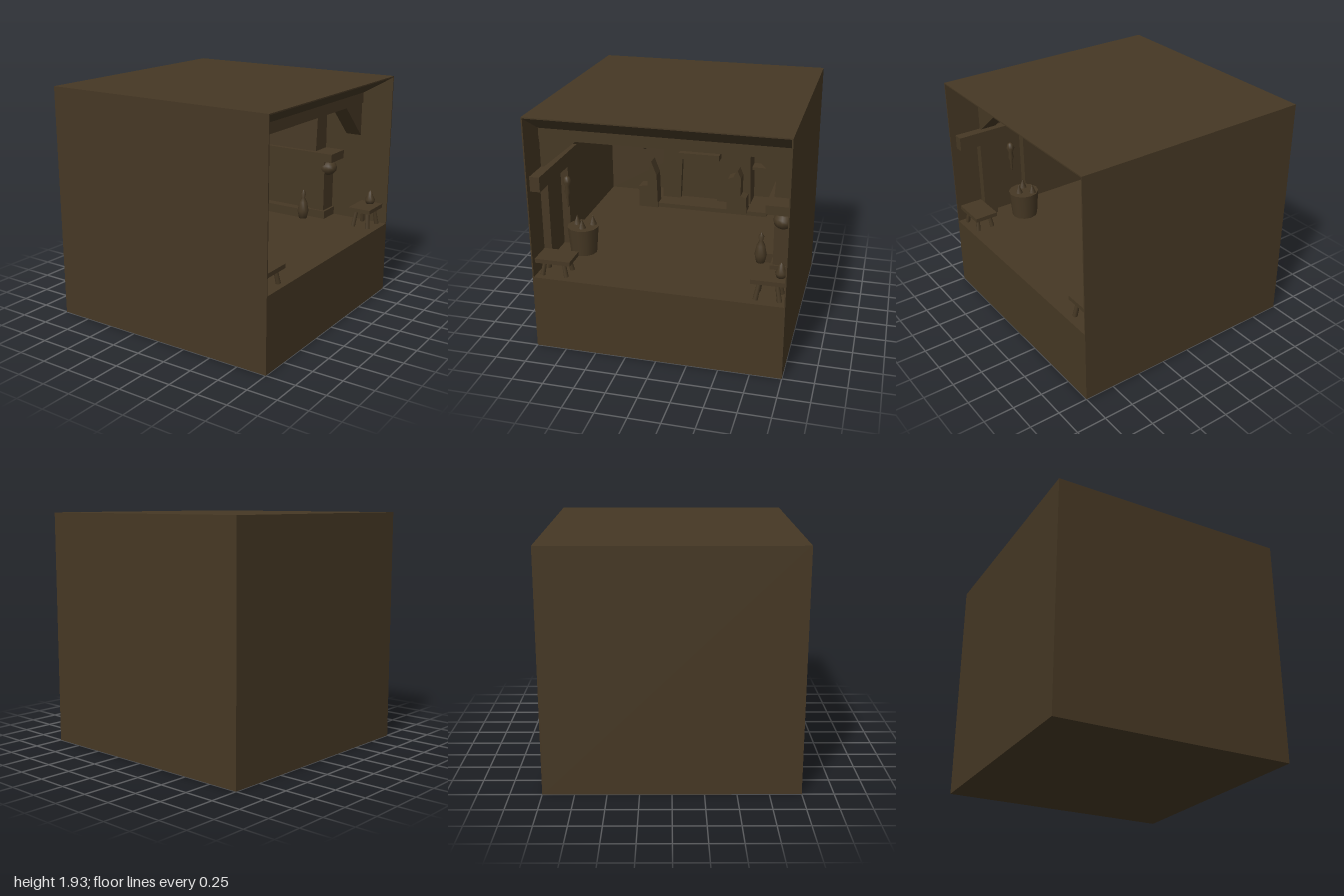
import * as THREE from 'three';

export function createModel() {
  const root = new THREE.Group();
  root.name = 'cottageRoom';
  const brown = new THREE.MeshStandardMaterial({ color: 0x463824 });
  brown.name = 'darkBrown';

  const add = (name, geo, x = 0, y = 0, z = 0, parent = root) => {
    const m = new THREE.Mesh(geo, brown);
    m.name = name;
    m.position.set(x, y, z);
    parent.add(m);
    return m;
  };
  // Box given by its limits on each axis
  const box = (name, x0, x1, y0, y1, z0, z1) =>
    add(name, new THREE.BoxGeometry(x1 - x0, y1 - y0, z1 - z0), (x0 + x1) / 2, (y0 + y1) / 2, (z0 + z1) / 2);
  const shapeOf = pts => new THREE.Shape(pts.map(p => new THREE.Vector2(...p)));
  const extrude = (shape, depth) => new THREE.ExtrudeGeometry(shape, { depth, bevelEnabled: false, curveSegments: 10 });
  // Prism with a (z, y) profile running along x
  const prismX = (name, pts, x0, x1) =>
    add(name, extrude(shapeOf(pts), x1 - x0).rotateY(-Math.PI / 2).translate(x1, 0, 0));
  const lathe = (name, pts, x, y, z, parent) =>
    add(name, new THREE.LatheGeometry(pts.map(p => new THREE.Vector2(...p)), 14), x, y, z, parent);

  // Shell: solid base, far wall and roof with a sloped lip over the open side
  const shell = shapeOf([[-1, 0], [1, 0], [1, 0.62], [-0.98, 0.62], [-0.98, 1.77],
    [0.73, 1.77], [1, 1.925], [1, 1.935], [-1, 1.935]]);
  add('shell', extrude(shell, 1.98), 0, 0, -0.99);
  box('frontWall', -1, 1, 0, 1.935, 0.99, 1);
  box('backWall', -1, 1, 0, 1.935, -1, -0.99);

  // Ceiling beams with a solid corner brace at each end
  for (const x of [0.65, 0.22, -0.21, -0.64]) {
    box('ceilingBeam', x - 0.08, x + 0.08, 1.68, 1.78, -0.99, 0.99);
    prismX('frontBrace', [[0.99, 1.43], [0.99, 1.69], [0.68, 1.69]], x - 0.07, x + 0.07);
    prismX('backBrace', [[-0.99, 1.39], [-0.68, 1.69], [-0.99, 1.69]], x - 0.07, x + 0.07);
  }

  // Main fireplace on the far wall
  prismX('fireplaceSurround', [[0.42, 0.64], [0.41, 1.18], [-0.41, 1.18], [-0.42, 0.64],
    [-0.1, 0.64], [-0.11, 1.09], [0.23, 1.09], [0.25, 0.64]], -0.98, -0.77);
  box('fireplaceBack', -0.98, -0.82, 0.64, 1.1, -0.12, 0.26);
  prismX('chimneyBreast', [[0.345, 1.17], [-0.23, 1.17], [-0.23, 1.66], [0.38, 1.66], [0.38, 1.5], [0.345, 1.5]], -0.98, -0.8);
  box('mantelLeft', -0.98, -0.7, 1.165, 1.235, 0.24, 0.43);
  box('mantelRight', -0.98, -0.7, 1.165, 1.235, -0.43, -0.14);
  box('hearthSlab', -0.98, -0.6, 0.61, 0.66, -0.6, 0.55);

  // Framed niche above the hearth
  box('nicheSill', -0.85, -0.66, 1.095, 1.15, -0.14, 0.24);
  box('nicheTop', -0.85, -0.74, 1.425, 1.44, -0.14, 0.24);
  for (const z of [-0.14, 0.225]) box('nichePost', -0.85, -0.74, 1.15, 1.44, z, z + 0.015);
  prismX('nicheContents', [[0.21, 1.15], [-0.12, 1.15], [-0.12, 1.28], [-0.09, 1.29], [-0.06, 1.25],
    [0, 1.28], [0.03, 1.24], [0.12, 1.27], [0.17, 1.26], [0.21, 1.29]], -0.82, -0.74);

  // Woodpiles either side of the hearth
  prismX('leftWoodpile', [[0.6, 0.62], [0.42, 0.62], [0.43, 0.94], [0.48, 1.07], [0.52, 0.92], [0.52, 0.83], [0.6, 0.82]], -0.7, -0.58);
  prismX('rightWoodpile', [[-0.23, 0.66], [-0.42, 0.64], [-0.41, 0.79], [-0.36, 0.81], [-0.36, 0.98], [-0.33, 1.05], [-0.29, 0.99], [-0.24, 0.97]], -0.7, -0.58);

  // Wall shelves and pegs
  box('lowerShelf', -0.98, -0.86, 0.97, 0.995, -0.67, -0.41);
  box('upperShelf', -0.98, -0.9, 1.2, 1.23, -0.65, -0.43);
  for (const [z, y] of [[0.65, 1.07], [-0.65, 1.08]])
    add('wallPeg', new THREE.SphereGeometry(0.02, 8, 6), -0.96, y, z);

  // Second fireplace on the back wall
  box('sideMantel', -0.7, 0.56, 1.16, 1.235, -0.99, -0.76);
  for (const x of [0.32, -0.62]) {
    box('sidePillar', x, x + 0.14, 0.62, 1.17, -0.99, -0.82);
    box('pillarFoot', x - 0.02, x + 0.16, 0.62, 0.69, -0.99, -0.8);
    add('corbel', new THREE.SphereGeometry(0.08, 12, 8), x + 0.14, 1.08, -0.89).scale.y = 0.85;
  }
  const arch = shapeOf([[0.32, 0.62], [0.34, 0.62], [0.34, 1.17], [-0.5, 1.17], [-0.5, 0.62], [-0.48, 0.62]]);
  arch.absellipse(-0.08, 0.82, 0.4, 0.32, Math.PI, 0, true);
  add('sideArch', extrude(arch, 0.08), 0, 0, -0.94);
  prismX('sideHood', [[-0.99, 1.23], [-0.8, 1.23], [-0.82, 1.56], [-0.99, 1.72]], -0.5, 0.38);
  box('sideCurb', -0.62, 0.3, 0.62, 0.7, -0.8, -0.72);

  // Sack beside the side hearth
  lathe('sack', [[0, 0], [0.035, 0.01], [0.05, 0.08], [0.035, 0.16], [0.015, 0.2], [0.025, 0.24], [0, 0.28]], 0.32, 0.62, -0.7);

  // Door frame on the front wall
  box('lintel', 0.15, 0.95, 1.33, 1.45, 0.91, 0.99);
  for (const x of [0.22, 0.64]) box('doorPost', x, x + 0.12, 0.62, 1.34, 0.925, 0.99);

  // Hanging ham by the door
  lathe('hangingHam', [[0, 0], [0.012, 0.04], [0.01, 0.1], [0.025, 0.14], [0.018, 0.19], [0.035, 0.23], [0.022, 0.27], [0, 0.28]], 0.5, 1.02, 0.87);

  // Stools with splayed legs
  const stool = (name, x, z, top, w) => {
    const g = new THREE.Group();
    g.name = name;
    g.position.set(x, 0.62, z);
    root.add(g);
    add('seat', new THREE.BoxGeometry(0.2, 0.035, w), 0, top - 0.0175, 0, g);
    for (const sx of [-1, 1]) for (const sz of [-1, 1]) {
      const leg = add('leg', new THREE.CylinderGeometry(0.016, 0.02, top - 0.02, 8), sx * 0.06, (top - 0.02) / 2, sz * w * 0.3, g);
      leg.rotation.set(-sz * 0.18, 0, sx * 0.12);
    }
    return g;
  };
  stool('leftStool', 0.87, 0.84, 0.15, 0.29);
  const rightStool = stool('rightStool', 0.86, -0.855, 0.18, 0.26);
  lathe('jug', [[0, 0], [0.035, 0], [0.045, 0.035], [0.025, 0.07], [0.02, 0.1], [0, 0.12]], 0, 0.18, -0.085, rightStool);

  // Basket of loaves behind the left stool
  add('basket', new THREE.CylinderGeometry(0.13, 0.11, 0.23, 12), 0.45, 0.735, 0.77);
  for (const [x, z] of [[0.4, 0.7], [0.5, 0.76], [0.42, 0.83]])
    add('loaf', new THREE.ConeGeometry(0.04, 0.1, 8), x, 0.88, z);

  return root;
}
